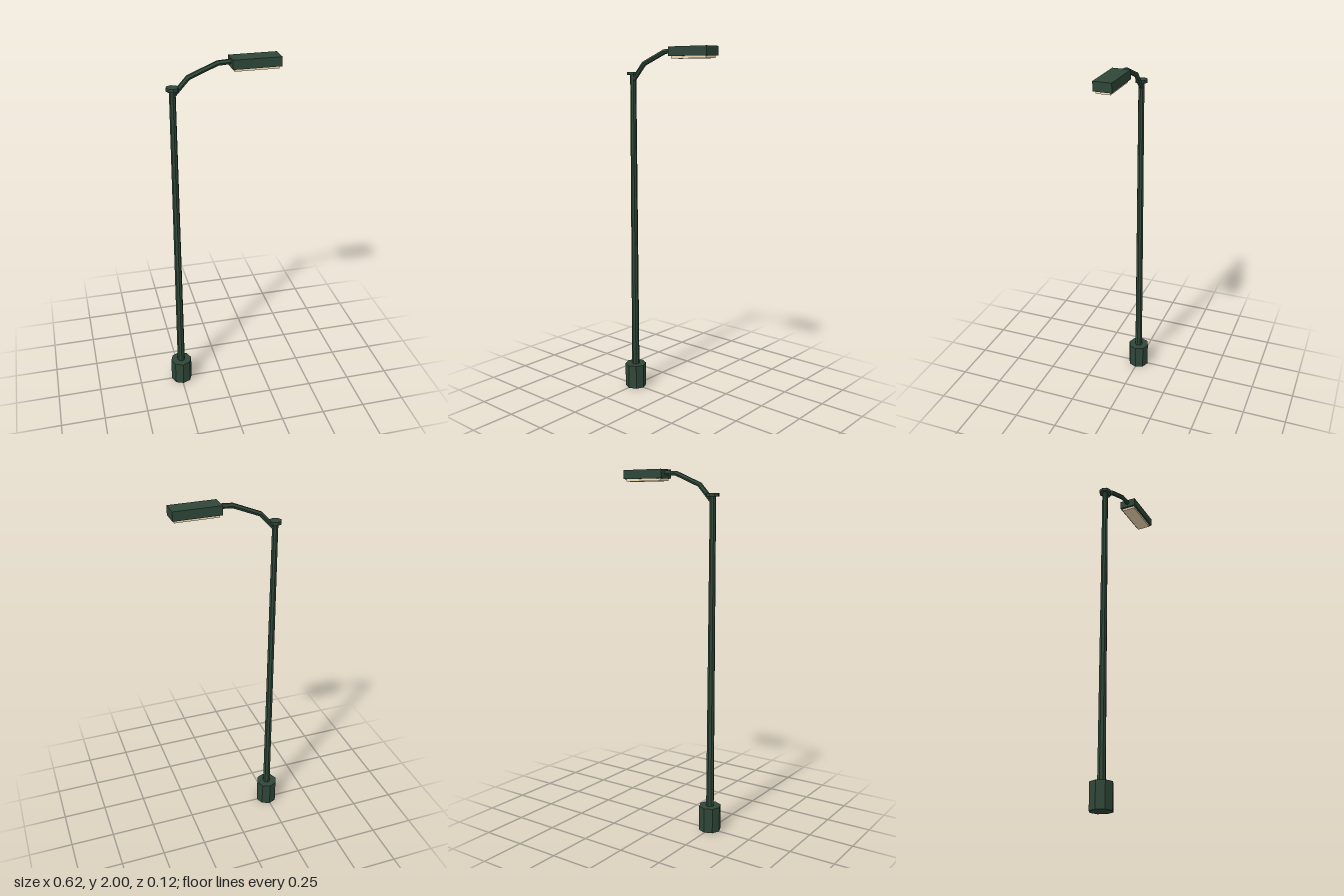
import * as THREE from 'three';

const PAINT = new THREE.MeshStandardMaterial({ color: 0x2f4739, flatShading: true });
const GLOW = new THREE.MeshStandardMaterial({ color: 0xf5dcb4, flatShading: true });
const POLE_X = -0.247;

export function createModel() {
  const group = new THREE.Group();
  group.name = 'streetLamp';

  const add = (name, geometry, material, x, y) => {
    const mesh = new THREE.Mesh(geometry, material);
    mesh.name = name;
    mesh.position.set(x, y, 0);
    group.add(mesh);
  };

  // Octagonal upright parts, given by their bottom and top heights
  const column = (name, rTop, rBottom, y0, y1) =>
    add(name, new THREE.CylinderGeometry(rTop, rBottom, y1 - y0, 8), PAINT, POLE_X, (y0 + y1) / 2);

  column('base', 0.062, 0.062, 0, 0.142);
  column('pole', 0.017, 0.022, 0.142, 1.86);
  column('poleCap', 0.034, 0.034, 1.852, 1.87);

  // Bent arm: three straight hexagonal segments, one ring per path point
  const path = new THREE.CatmullRomCurve3([
    new THREE.Vector3(POLE_X, 1.824, 0),
    new THREE.Vector3(-0.165, 1.914, 0),
    new THREE.Vector3(-0.015, 1.976, 0),
    new THREE.Vector3(0.178, 1.988, 0),
  ]);
  path.getPointAt = (u, target) => path.getPoint(u, target);
  path.getTangentAt = (u, target) => path.getTangent(u, target);
  add('arm', new THREE.TubeGeometry(path, 3, 0.0138, 6), PAINT, 0, 0);

  // Lamp head with the light panel below it
  add('lampHead', new THREE.BoxGeometry(0.255, 0.049, 0.098), PAINT, 0.18, 1.9755);
  add('lightPanel', new THREE.BoxGeometry(0.232, 0.016, 0.078), GLOW, 0.18, 1.946);

  return group;
}
